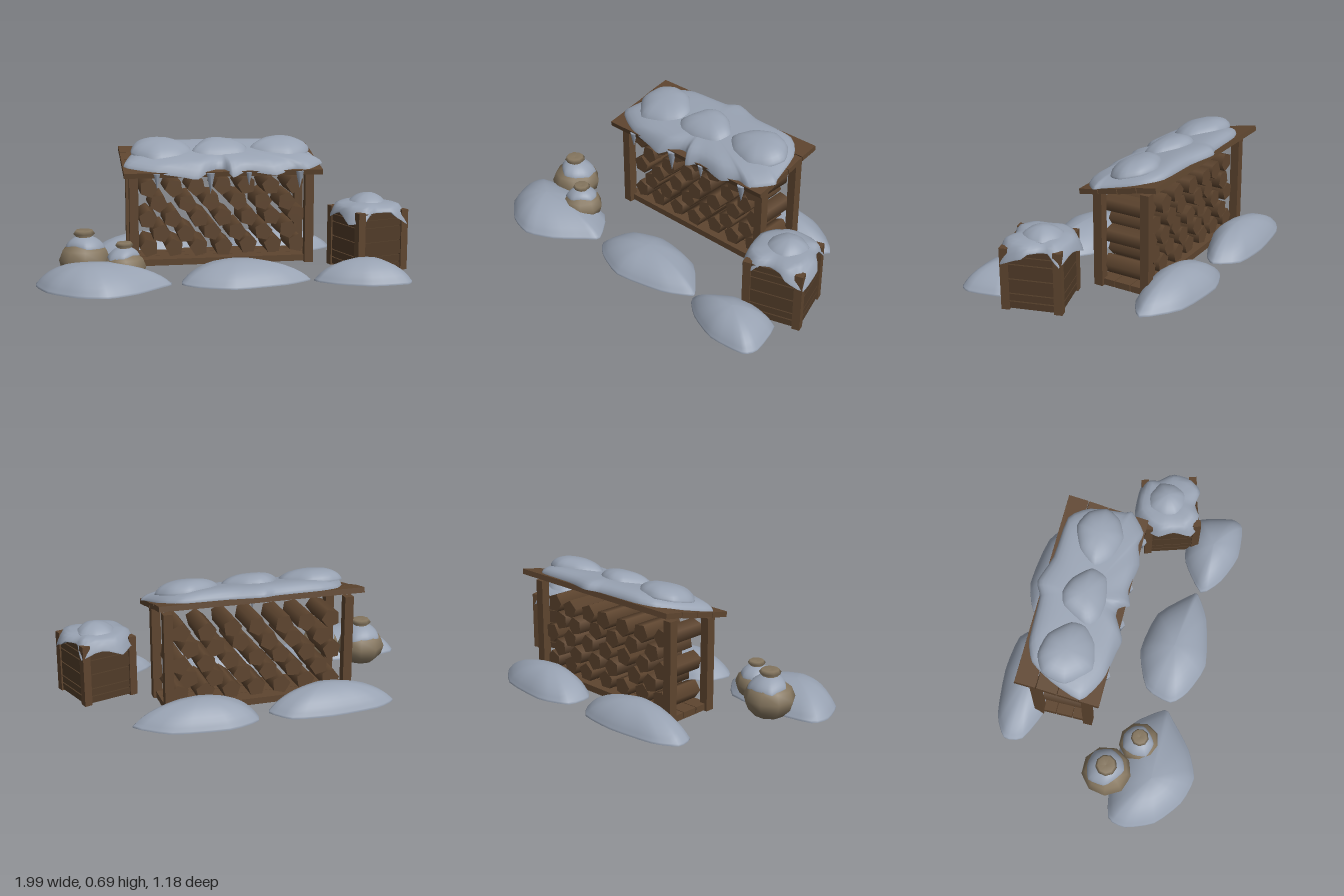
import * as THREE from 'three';

const material = (name, color) => {
  const m = new THREE.MeshStandardMaterial({ color });
  m.name = name;
  return m;
};

export function createModel() {
  const model = new THREE.Group();
  model.name = 'snowyWoodStore';
  const snow = material('snow', 0x98a2b2);
  const wood = material('wood', 0x5e452f);
  const plankWood = material('plankWood', 0x503b28);
  const cloth = material('sackcloth', 0x85765f);

  let seed = 7;
  const rand = (a, b) => {
    seed = (seed * 16807) % 2147483647;
    return a + (b - a) * (seed / 2147483647);
  };
  const add = (parent, name, geometry, mat, x = 0, y = 0, z = 0) => {
    const mesh = new THREE.Mesh(geometry, mat);
    mesh.name = name;
    mesh.position.set(x, y, z);
    parent.add(mesh);
    return mesh;
  };
  const group = (name, x = 0, y = 0, z = 0) => {
    const g = new THREE.Group();
    g.name = name;
    g.position.set(x, y, z);
    model.add(g);
    return g;
  };
  const box = (parent, name, size, mat, pos) => add(parent, name, new THREE.BoxGeometry(...size), mat, ...pos);

  // Snow heap: shrinking rings from an outline to a peak, resting on the surface lift(x, z)
  const heap = (parent, name, outline, height, peak, { lift = () => 0, power = 2.2, round = 0.75 } = {}) => {
    const curve = new THREE.CatmullRomCurve3(outline.map(([x, z]) => new THREE.Vector3(x, 0, z)), true, 'catmullrom', 0.3);
    const n = outline.length * 3;
    const rim = curve.getPoints(n).slice(0, n);
    const area = rim.reduce((sum, p, i) => {
      const q = rim[(i + 1) % n];
      return sum + p.x * q.z - q.x * p.z;
    }, 0);
    if (area < 0) rim.reverse();
    const scales = [1, 1, 0.985, 0.94, 0.87, 0.77, 0.64, 0.48, 0.32, 0.16, 0];
    const pos = [], index = [];
    const ring = (s, y) => rim.forEach((p) => {
      const x = peak[0] + (p.x - peak[0]) * s, z = peak[1] + (p.z - peak[1]) * s;
      pos.push(x, lift(x, z) + y, z);
    });
    scales.forEach((s, k) => ring(s, k ? Math.max(height * 0.06, height * (1 - s ** power) ** round) : 0));
    const join = (a, b, up) => {
      for (let i = 0; i < n; i++) {
        const j = (i + 1) % n;
        if (up) index.push(a + i, b + i, a + j, a + j, b + i, b + j);
        else index.push(a + i, a + j, b + i, a + j, b + j, b + i);
      }
    };
    for (let k = 0; k < scales.length - 1; k++) join(k * n, (k + 1) * n, true);
    // Underside with its own rim so the edge stays sharp
    const under = scales.length * n;
    [1, 0.7, 0.35, 0].forEach((s) => ring(s, 0));
    for (let k = 0; k < 3; k++) join(under + k * n, under + (k + 1) * n, false);
    const g = new THREE.BufferGeometry();
    g.setAttribute('position', new THREE.Float32BufferAttribute(pos, 3));
    g.setIndex(index);
    g.computeVertexNormals();
    return add(parent, name, g, snow);
  };

  // Ground drifts
  const drifts = group('snowDrifts');
  heap(drifts, 'frontLeftDrift', [[-1, 0.28], [-0.97, 0.18], [-0.75, 0.14], [-0.45, 0.17], [-0.31, 0.34], [-0.36, 0.4],
    [-0.5, 0.52], [-0.65, 0.585], [-0.8, 0.545], [-0.94, 0.43]], 0.13, [-0.73, 0.36]);
  heap(drifts, 'frontMiddleDrift', [[-0.26, 0.36], [-0.21, 0.21], [0, 0.125], [0.24, 0.17], [0.4, 0.33], [0.41, 0.37],
    [0.27, 0.45], [0, 0.505], [-0.18, 0.44]], 0.115, [0.04, 0.31]);
  heap(drifts, 'frontRightDrift', [[0.43, 0.38], [0.6, 0.25], [0.75, 0.23], [0.88, 0.27], [0.93, 0.46], [0.89, 0.53],
    [0.7, 0.545], [0.53, 0.48]], 0.115, [0.7, 0.39]);
  heap(drifts, 'backRightDrift', [[-0.68, -0.49], [-0.56, -0.56], [-0.3, -0.59], [-0.09, -0.565], [0, -0.45], [-0.06, -0.38],
    [-0.27, -0.29], [-0.48, -0.31], [-0.66, -0.39]], 0.125, [-0.32, -0.43]);
  heap(drifts, 'backLeftDrift', [[0.07, -0.4], [0.08, -0.53], [0.25, -0.595], [0.54, -0.56], [0.71, -0.42], [0.58, -0.32],
    [0.36, -0.28], [0.16, -0.33]], 0.125, [0.35, -0.43]);

  // Shed frame
  const shed = group('woodShed');
  for (const x of [-0.47, 0.5]) {
    box(shed, 'frontPost', [0.048, 0.51, 0.05], wood, [x, 0.255, -0.06]);
    box(shed, 'backPost', [0.048, 0.555, 0.048], wood, [x, 0.278, -0.335]);
  }
  for (let i = 0; i < 3; i++) box(shed, 'floorPlank', [0.99, 0.035, 0.088], wood, [0.015, 0.022, -0.105 - i * 0.092]);

  // Sloping roof planks
  const roof = group('roof', 0.017, 0.563, -0.2);
  roof.rotation.x = 0.215;
  for (let i = 0; i < 4; i++) {
    const plank = box(roof, 'roofPlank', [1.085, 0.028, 0.11], wood, [0, 0, (i - 1.5) * 0.114]);
    plank.rotation.x = rand(-0.04, 0.04);
  }

  // Stacked five-sided logs in staggered rows
  const logs = group('logs');
  const logGeometry = new THREE.CylinderGeometry(0.052, 0.052, 0.25, 5).rotateX(Math.PI / 2);
  [0.1, 0.18, 0.262, 0.348, 0.432].forEach((y, row) => {
    const count = row % 2 ? 6 : 7;
    for (let i = 0; i < count; i++) {
      const x = (row % 2 ? -0.325 : -0.39) + i * (row % 2 ? 0.142 : 0.137);
      const log = add(logs, 'log', logGeometry, wood, x + rand(-0.008, 0.008), y + rand(-0.005, 0.005), -0.195 + rand(-0.012, 0.012));
      log.rotation.z = rand(0, 1.25);
    }
  });

  // Roof snow: drooping sheet, three humps and icicles
  const roofSnow = group('roofSnow');
  const roofTop = (x, z) => 0.535 - 0.21 * z - 0.8 * Math.max(0, z - 0.01);
  heap(roofSnow, 'snowSheet', [[-0.52, -0.08], [-0.47, -0.24], [-0.4, -0.36], [-0.29, -0.405], [-0.05, -0.415], [0.03, -0.45],
    [0.19, -0.405], [0.43, -0.39], [0.52, -0.29], [0.56, -0.11], [0.575, -0.07], [0.48, 0.015], [0.4, 0.005], [0.3, 0.037],
    [0.14, 0.016], [0.06, 0.043], [0.02, -0.01], [-0.03, -0.01], [-0.13, 0.048], [-0.21, 0.037], [-0.35, 0.016], [-0.43, -0.016]],
    0.06, [0.01, -0.19], { lift: roofTop, power: 5, round: 0.5 });
  const humps = [
    [[-0.47, -0.17], [-0.45, -0.29], [-0.36, -0.34], [-0.24, -0.32], [-0.14, -0.22], [-0.14, -0.14], [-0.22, -0.07], [-0.36, -0.05]],
    [[-0.15, -0.14], [-0.08, -0.28], [0, -0.31], [0.09, -0.28], [0.18, -0.19], [0.15, -0.1], [0.02, -0.07], [-0.09, -0.08]],
    [[0.18, -0.18], [0.25, -0.28], [0.38, -0.33], [0.48, -0.29], [0.53, -0.2], [0.49, -0.12], [0.39, -0.07], [0.26, -0.1]],
  ];
  humps.forEach((outline, i) => heap(roofSnow, 'snowHump', outline, 0.068, [[-0.31, -0.2], [0.01, -0.19], [0.36, -0.2]][i],
    { lift: (x, z) => roofTop(x, z) + 0.038, power: 2.6, round: 0.6 }));
  for (const [x, tip, r] of [[-0.35, 0.44, 0.02], [-0.06, 0.41, 0.025], [0.15, 0.45, 0.018], [0.43, 0.43, 0.024]]) {
    const length = 0.525 - tip;
    add(roofSnow, 'icicle', new THREE.ConeGeometry(r, length, 6).rotateX(Math.PI), snow, x, tip + length / 2, 0.02);
  }

  // Crate with corner posts and planked sides
  const crate = group('crate', 0.79, 0, 0.105);
  crate.rotation.y = 0.31;
  box(crate, 'crateCore', [0.275, 0.3, 0.275], plankWood, [0, 0.16, 0]);
  for (let side = 0; side < 4; side++) {
    const wall = new THREE.Group();
    wall.name = 'crateWall';
    wall.rotation.y = side * Math.PI / 2;
    crate.add(wall);
    box(wall, 'cratePost', [0.042, 0.33, 0.042], wood, [0.136, 0.165, 0.136]);
    [[0.008, 0.043], [0.05, 0.085], [0.091, 0.164], [0.17, 0.243], [0.249, 0.285], [0.291, 0.322]].forEach(([a, b]) =>
      box(wall, 'cratePlank', [0.25, b - a, 0.014], plankWood, [0, (a + b) / 2, 0.142]));
  }

  // Crate snow cap
  const crateSnow = group('crateSnow');
  const crateTop = (x, z) => 0.322 - 1.6 * Math.max(0, Math.hypot(x - 0.79, z - 0.1) - 0.175);
  heap(crateSnow, 'snowCap', [[0.61, 0.01], [0.68, -0.08], [0.79, -0.09], [0.9, -0.085], [0.91, 0], [0.98, 0.08], [0.99, 0.2],
    [0.91, 0.25], [0.81, 0.24], [0.73, 0.29], [0.645, 0.255], [0.62, 0.16], [0.59, 0.08]], 0.045, [0.79, 0.09],
    { lift: crateTop, power: 3.5, round: 0.6 });
  heap(crateSnow, 'snowCapTop', [[0.69, 0.08], [0.72, 0], [0.8, -0.02], [0.88, 0.02], [0.89, 0.1], [0.85, 0.17], [0.77, 0.18],
    [0.71, 0.15]], 0.05, [0.8, 0.08], { lift: () => 0.357, power: 2, round: 0.8 });

  // Tied sacks with snow on their shoulders
  const profile = [[0, 0], [0.08, 0.006], [0.122, 0.05], [0.136, 0.1], [0.115, 0.152], [0.065, 0.19], [0.033, 0.21],
    [0.058, 0.235], [0.046, 0.252], [0, 0.246]].map(([r, y]) => new THREE.Vector2(r, y));
  for (const [x, z, size, turn] of [[-0.745, 0.115, 1, 0], [-0.545, 0.25, 0.83, 1.4]]) {
    const sack = group('sack', x, 0, z);
    sack.scale.setScalar(size);
    sack.rotation.y = turn;
    add(sack, 'sackBody', new THREE.LatheGeometry(profile, 9), cloth);
    heap(sack, 'sackSnow', [[-0.095, 0.01], [-0.08, -0.08], [0, -0.105], [0.08, -0.085], [0.11, 0], [0.07, 0.07], [0.01, 0.095],
      [-0.05, 0.06]], 0.022, [0, 0], { lift: (a, b) => 0.203 - 4.2 * (a * a + b * b), power: 5, round: 0.5 });
  }
  return model;
}
